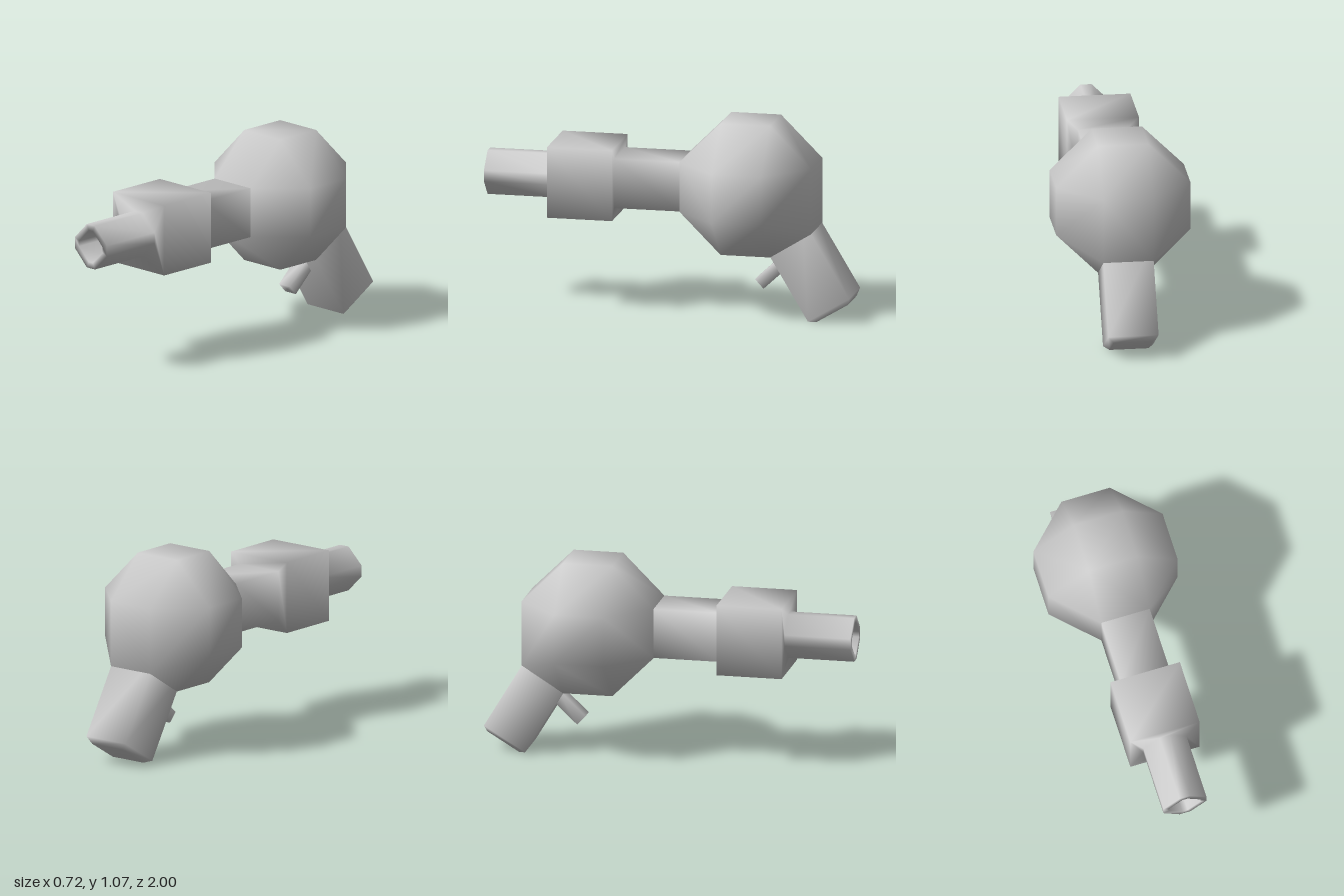
import * as THREE from 'three';
import { mergeVertices } from 'three/addons/utils/BufferGeometryUtils.js';
import { ConvexGeometry } from 'three/addons/geometries/ConvexGeometry.js';

const material = new THREE.MeshStandardMaterial({ color: 0xcccccc });

// Weld shared corners so the low-poly surface shades smoothly
function smooth(geometry) {
  geometry.deleteAttribute('normal');
  geometry.deleteAttribute('uv');
  const g = mergeVertices(geometry, 1e-4);
  const kept = [];
  const a = g.index.array;
  for (let i = 0; i < a.length; i += 3) {
    if (a[i] !== a[i + 1] && a[i + 1] !== a[i + 2] && a[i] !== a[i + 2]) kept.push(a[i], a[i + 1], a[i + 2]);
  }
  g.setIndex(kept);
  g.computeVertexNormals();
  return g;
}

// Loft along z through chamfered rectangles: [z, halfWidth, halfHeight, chamfer]
function loft(sections) {
  const pos = [], index = [];
  for (const [z, w, h, c = 0] of sections) {
    const ring = [[w, c - h], [w, h - c], [w - c, h], [c - w, h], [-w, h - c], [-w, c - h], [c - w, -h], [w - c, -h]];
    for (const [x, y] of ring) pos.push(x, y, z);
  }
  for (let s = 0; s < sections.length - 1; s++) {
    for (let i = 0; i < 8; i++) {
      const j = (i + 1) % 8, a = s * 8, b = a + 8;
      index.push(a + i, a + j, b + j, a + i, b + j, b + i);
    }
  }
  const g = new THREE.BufferGeometry();
  g.setAttribute('position', new THREE.Float32BufferAttribute(pos, 3));
  g.setIndex(index);
  return smooth(g);
}

// Round body: a cube with every edge and corner cut, its lower back slope lowered to meet the grip
function bodyGeometry() {
  const R = 0.36, F = 0.135, points = [];
  for (const sx of [-1, 1]) for (const sy of [-1, 1]) for (const sz of [-1, 1]) {
    points.push(new THREE.Vector3(sx * R, sy * F, sz * F));
    points.push(new THREE.Vector3(sx * F, sy * R, sz * F));
    points.push(new THREE.Vector3(sx * F, sy < 0 && sz < 0 ? -0.22 : sy * F, sz * R));
  }
  return smooth(new ConvexGeometry(points));
}

export function createModel() {
  const model = new THREE.Group();
  const add = (name, geometry, y, z, tilt = 0) => {
    const mesh = new THREE.Mesh(geometry, material);
    mesh.name = name;
    mesh.position.set(0, y, z);
    mesh.rotation.x = tilt;
    model.add(mesh);
  };

  add('body', bodyGeometry(), 0.71, -0.43);

  // Neck, square block and hollow octagonal muzzle in one run
  add('barrel', loft([
    [-0.2, 0, 0],
    [-0.2, 0.135, 0.135],
    [-0.07, 0.135, 0.135],
    [0.285, 0.135, 0.135],
    [0.285, 0.193, 0.193],
    [0.64, 0.193, 0.193],
    [0.64, 0.12, 0.12, 0.09],
    [1, 0.12, 0.12, 0.09],
    [1, 0.088, 0.088, 0.073],
    [0.85, 0.088, 0.088, 0.073],
    [0.85, 0, 0],
  ]), 0.711, 0);

  // Grip slanting down and back
  add('grip', loft([
    [-0.1, 0, 0],
    [-0.1, 0.135, 0.131],
    [0.4, 0.135, 0.131],
    [0.427, 0.105, 0.101],
    [0.427, 0, 0],
  ]), 0.42, -0.678, 2.111);

  // Trigger slanting down and forward out of the grip
  add('trigger', loft([
    [-0.22, 0, 0],
    [-0.22, 0.04, 0.034],
    [0, 0.04, 0.034],
    [0, 0, 0],
  ]), 0.178, -0.485, 0.75);

  return model;
}
